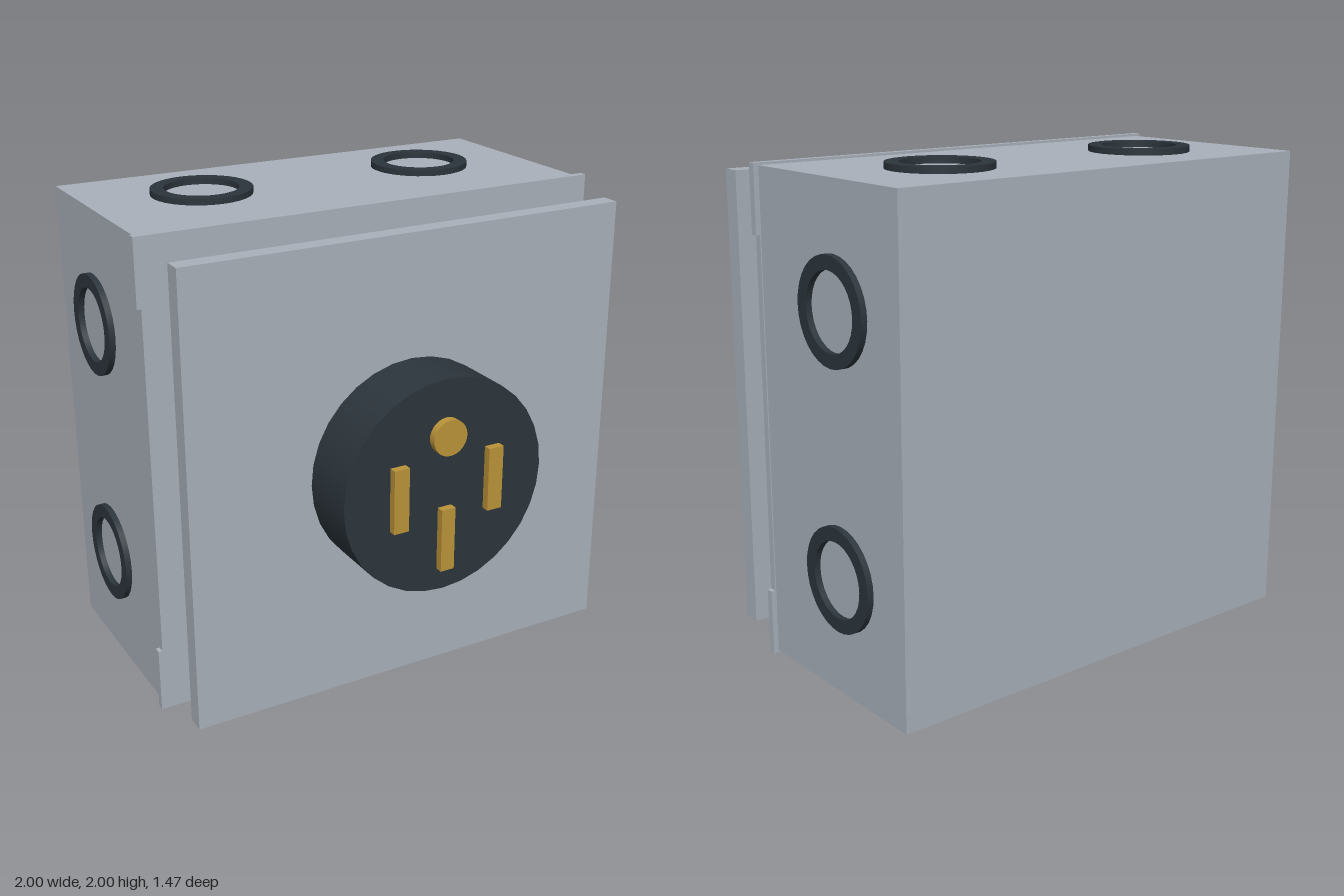
import * as THREE from 'three';

export function createModel() {
  const model = new THREE.Group();
  const paint = (name, color) => {
    const m = new THREE.MeshStandardMaterial({ color });
    m.name = name;
    return m;
  };
  const grey = paint('grey metal', 0xa9b0ba);
  const black = paint('black rubber', 0x2c353c);
  const brass = paint('brass', 0xba9339);

  const add = (name, geometry, material, x, y, z, parent = model) => {
    const mesh = new THREE.Mesh(geometry, material);
    mesh.name = name;
    mesh.position.set(x, y, z);
    parent.add(mesh);
    return mesh;
  };
  // Box centred on x = cx, from y0 to y1 and z0 to z1
  const box = (name, material, cx, width, y0, y1, z0, z1) =>
    add(name, new THREE.BoxGeometry(width, y1 - y0, z1 - z0), material,
      cx, (y0 + y1) / 2, (z0 + z1) / 2);

  // Junction box
  box('boxBody', grey, 0, 1.95, 0.025, 1.975, -0.735, 0.15);

  // Front flange, with a shallow notch along each side
  const flange = new THREE.Shape();
  [[-0.997, 0.015], [0.997, 0.015], [0.997, 0.285], [0.98, 0.285], [0.98, 1.715], [0.997, 1.715],
    [0.997, 1.985], [-0.997, 1.985], [-0.997, 1.715], [-0.98, 1.715], [-0.98, 0.285], [-0.997, 0.285],
  ].forEach(([x, y], i) => (i ? flange.lineTo(x, y) : flange.moveTo(x, y)));
  add('flange', new THREE.ExtrudeGeometry(flange, { depth: 0.03, bevelEnabled: false }), grey, 0, 0, 0.15);

  // Neck and cover plate
  box('neck', grey, 0, 0.915, 0.28, 1.72, 0.18, 0.375);
  box('coverPlate', grey, 0, 1.895, 0.065, 1.935, 0.375, 0.45);

  // Plug body and round pin
  const disc = (name, material, radius, y, z0, z1) => {
    const g = new THREE.CylinderGeometry(radius, radius, z1 - z0, 32).rotateX(Math.PI / 2);
    add(name, g, material, 0, y, (z0 + z1) / 2);
  };
  disc('plugBody', black, 0.44, 1, 0.45, 0.703);
  disc('groundPin', brass, 0.073, 1.213, 0.703, 0.735);

  // Flat blades
  for (const side of [-1, 1]) box('sideBlade', brass, side * 0.21, 0.065, 0.868, 1.13, 0.703, 0.735);
  box('lowerBlade', brass, 0, 0.06, 0.655, 0.918, 0.703, 0.735);

  // Knockout rings, two on each of the four sides
  const ringProfile = [[0.15, 0], [0.205, 0], [0.205, 0], [0.205, 0.025], [0.205, 0.025],
    [0.15, 0.025], [0.15, 0.025], [0.15, 0]].map(([r, h]) => new THREE.Vector2(r, h));
  const ring = new THREE.LatheGeometry(ringProfile, 32);
  for (let i = 0; i < 4; i++) {
    const sideGroup = new THREE.Group();
    sideGroup.name = 'knockoutSide';
    sideGroup.position.set(0, 1, -0.34);
    sideGroup.rotation.z = (i * Math.PI) / 2;
    for (const x of [-0.505, 0.505]) add('knockoutRing', ring, black, x, 0.975, 0, sideGroup);
    model.add(sideGroup);
  }
  return model;
}
